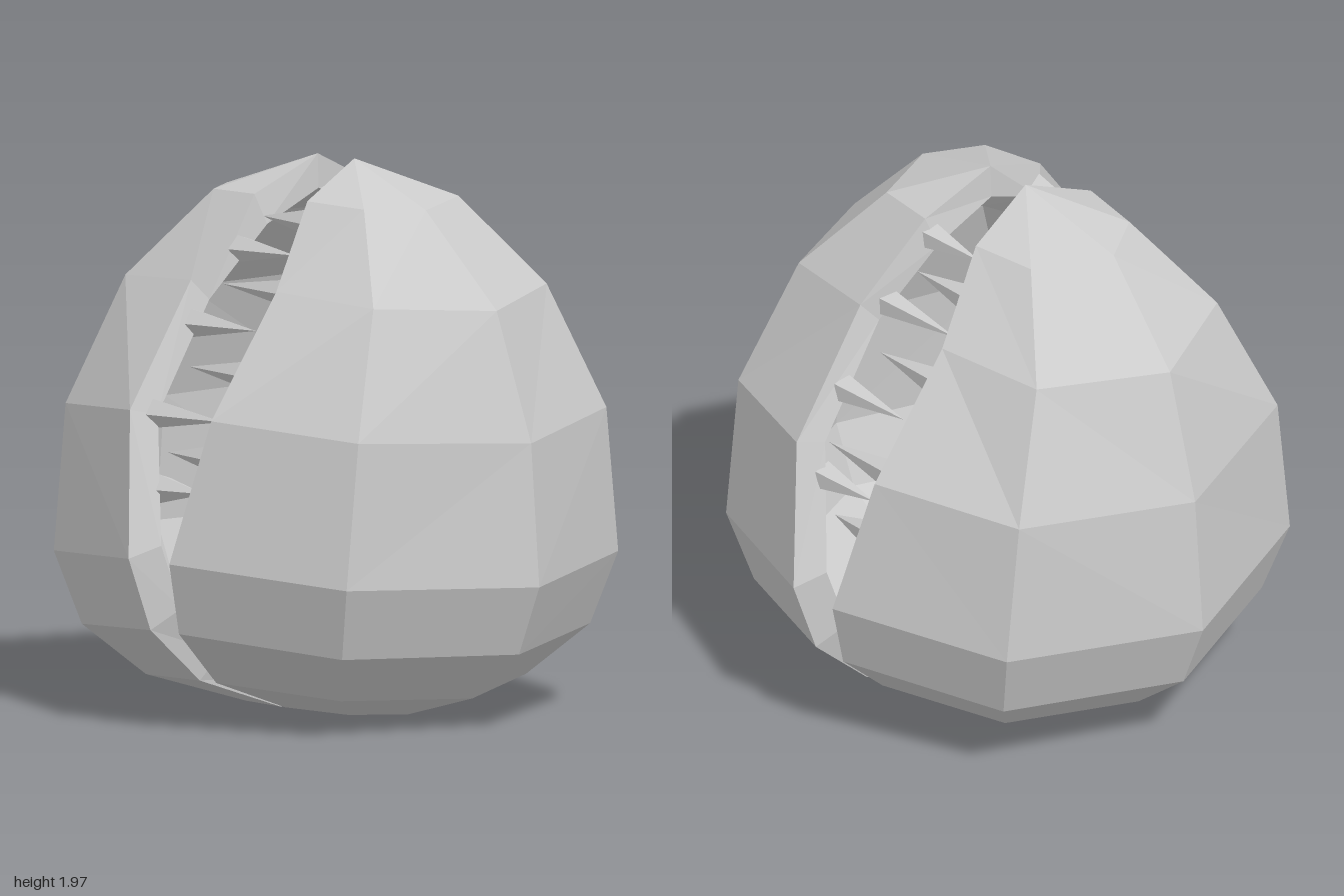
import * as THREE from 'three';

// Rings from bottom to top, +x half: seam x,y,z / diagonal x,y,z / side x,y
const RINGS = [
  [0.005, 0.005, 0, 0.005, 0.005, 0, 0.005, 0.005],
  [0.01, 0.03, 0.27, 0.25, 0.02, 0.2, 0.35, 0.01],
  [0.04, 0.16, 0.65, 0.48, 0.12, 0.47, 0.67, 0.1],
  [0.07, 0.36, 0.87, 0.64, 0.3, 0.63, 0.9, 0.28],
  [0.1, 0.62, 0.95, 0.72, 0.56, 0.69, 1, 0.53],
  [0.2, 1.13, 0.84, 0.72, 1.08, 0.63, 0.96, 1.04],
  [0.21, 1.56, 0.52, 0.61, 1.53, 0.44, 0.81, 1.5],
  [0.13, 1.85, 0.28, 0.37, 1.84, 0.24, 0.49, 1.83],
  [0.09, 1.97, 0, 0.09, 1.97, 0, 0.09, 1.97],
];
const INNER_SEAM_X = [0.005, 0.005, 0.01, 0.02, 0.05, 0.16, 0.18, 0.1, 0.085];
const COLS = 4;

// Teeth: side of the base, base x, tip x, height y, depth z
const TEETH = [
  [1, 0.14, -0.12, 1.77, 0.25],
  [-1, 0.17, -0.12, 1.66, 0.33],
  [1, 0.19, -0.16, 1.54, 0.41],
  [-1, 0.2, -0.11, 1.41, 0.52],
  [1, 0.19, -0.12, 1.27, 0.62],
  [-1, 0.18, -0.15, 1.11, 0.73],
  [1, 0.15, -0.1, 0.98, 0.75],
  [-1, 0.12, -0.09, 0.85, 0.76],
];

const material = new THREE.MeshStandardMaterial({ color: 0xcccccc, flatShading: true });

// Point of the outer skin; column 0 is the front seam, 4 the back seam
function outer(i, j) {
  const r = RINGS[i];
  const k = Math.min(j, COLS - j);
  const sign = j > 2 ? -1 : 1;
  if (k === 0) return [r[0], r[1], sign * r[2]];
  if (k === 1) return [r[3], r[4], sign * r[5]];
  const lean = i === 7 ? 0.05 : i === 6 ? 0.02 : 0;
  return [r[6], r[7], lean];
}

// Inner skin: the outer one shrunk about the middle of the pod
function inner(i, j) {
  const [x, y, z] = outer(i, j);
  const seam = j === 0 || j === COLS || i === 0 || i === RINGS.length - 1;
  return [seam ? INNER_SEAM_X[i] : x * 0.88, 0.95 + (y - 0.95) * 0.88, z * 0.88];
}

// Thick half shell; side is +1 or -1
function halfShell(side) {
  const pos = [];
  const tri = (a, b, c) => {
    const order = side > 0 ? [a, b, c] : [a, c, b];
    order.forEach(([x, y, z]) => pos.push(side * x, y, z));
  };
  const same = (a, b) => a.every((v, n) => Math.abs(v - b[n]) < 1e-6);
  const quad = (a, b, c, d) => {
    if (!same(a, b)) tri(a, b, c);
    if (!same(c, d)) tri(a, c, d);
  };
  for (let i = 0; i < RINGS.length - 1; i++) {
    for (let j = 0; j < COLS; j++) {
      quad(outer(i, j), outer(i, j + 1), outer(i + 1, j + 1), outer(i + 1, j));
      quad(inner(i, j + 1), inner(i, j), inner(i + 1, j), inner(i + 1, j + 1));
    }
    // Rims along the front and back seams
    quad(inner(i, 0), outer(i, 0), outer(i + 1, 0), inner(i + 1, 0));
    quad(outer(i, COLS), inner(i, COLS), inner(i + 1, COLS), outer(i + 1, COLS));
  }
  const geo = new THREE.BufferGeometry();
  geo.setAttribute('position', new THREE.Float32BufferAttribute(pos, 3));
  geo.computeVertexNormals();
  return new THREE.Mesh(geo, material);
}

// Faceted spike pointing across the gap
function tooth([side, base, tip, y, z], front) {
  const length = base - tip;
  const geo = new THREE.ConeGeometry(0.055, length, 5);
  geo.rotateZ(side * Math.PI / 2);
  const mesh = new THREE.Mesh(geo, material);
  mesh.position.set(side * (base + tip) / 2, y, front * z);
  mesh.name = front > 0 ? 'frontTooth' : 'backTooth';
  return mesh;
}

export function createModel() {
  const model = new THREE.Group();
  model.name = 'toothedPod';
  for (const side of [1, -1]) {
    const shell = halfShell(side);
    shell.name = side > 0 ? 'leftShell' : 'rightShell';
    model.add(shell);
  }
  const teeth = new THREE.Group();
  teeth.name = 'teeth';
  for (const front of [1, -1]) TEETH.forEach((t) => teeth.add(tooth(t, front)));
  model.add(teeth);
  return model;
}
